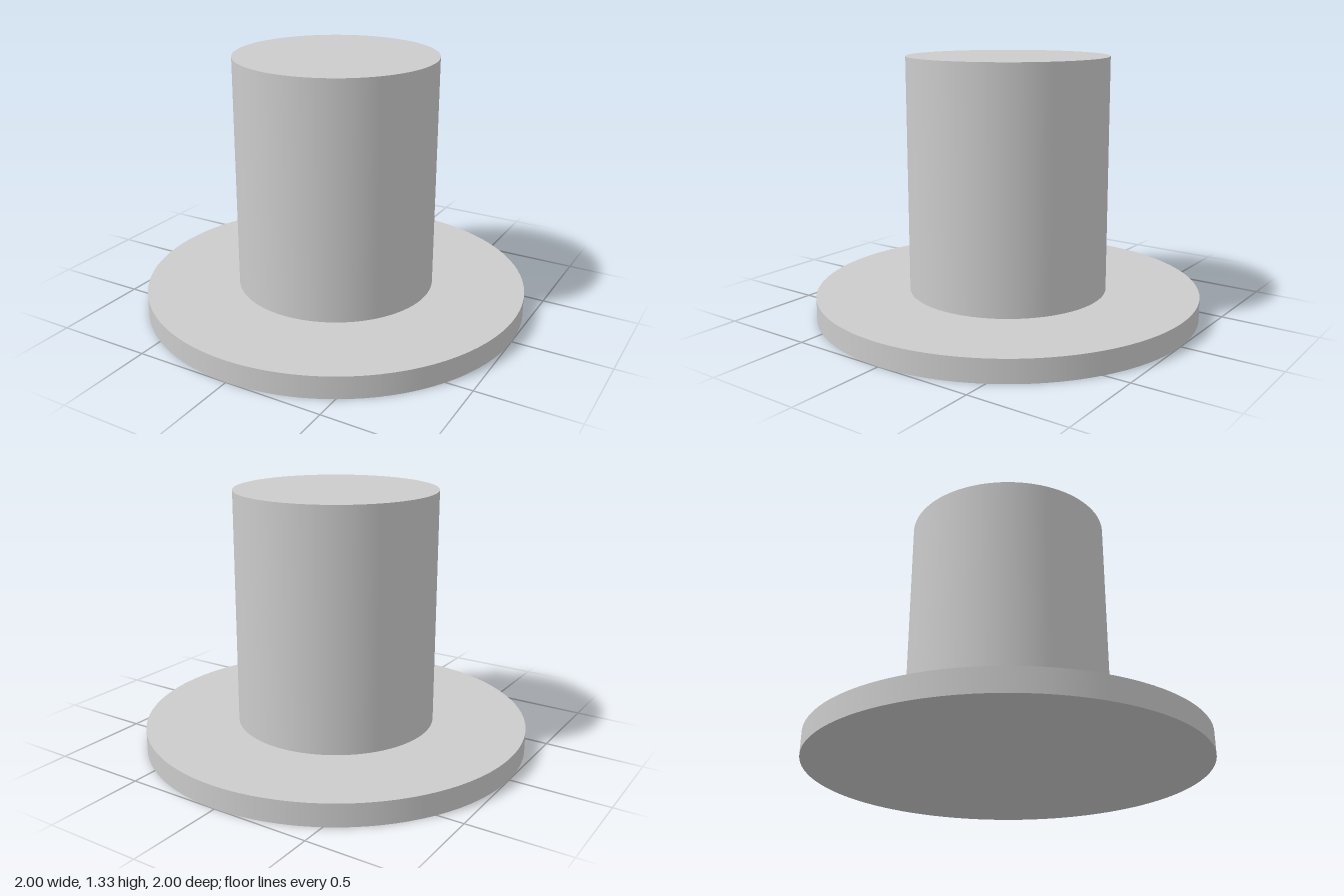
import * as THREE from 'three';

const BRIM_HEIGHT = 0.115;
const TOTAL_HEIGHT = 1.33;

export function createModel() {
  const group = new THREE.Group();
  const material = new THREE.MeshStandardMaterial({ color: 0xcccccc });

  // Upright solid disc standing on height y
  const addDisc = (name, radius, height, y) => {
    const mesh = new THREE.Mesh(new THREE.CylinderGeometry(radius, radius, height, 96), material);
    mesh.name = name;
    mesh.position.y = y + height / 2;
    group.add(mesh);
  };

  // Wide flat brim with the tall crown on top
  addDisc('brim', 1, BRIM_HEIGHT, 0);
  addDisc('crown', 0.517, TOTAL_HEIGHT - BRIM_HEIGHT, BRIM_HEIGHT);

  return group;
}
